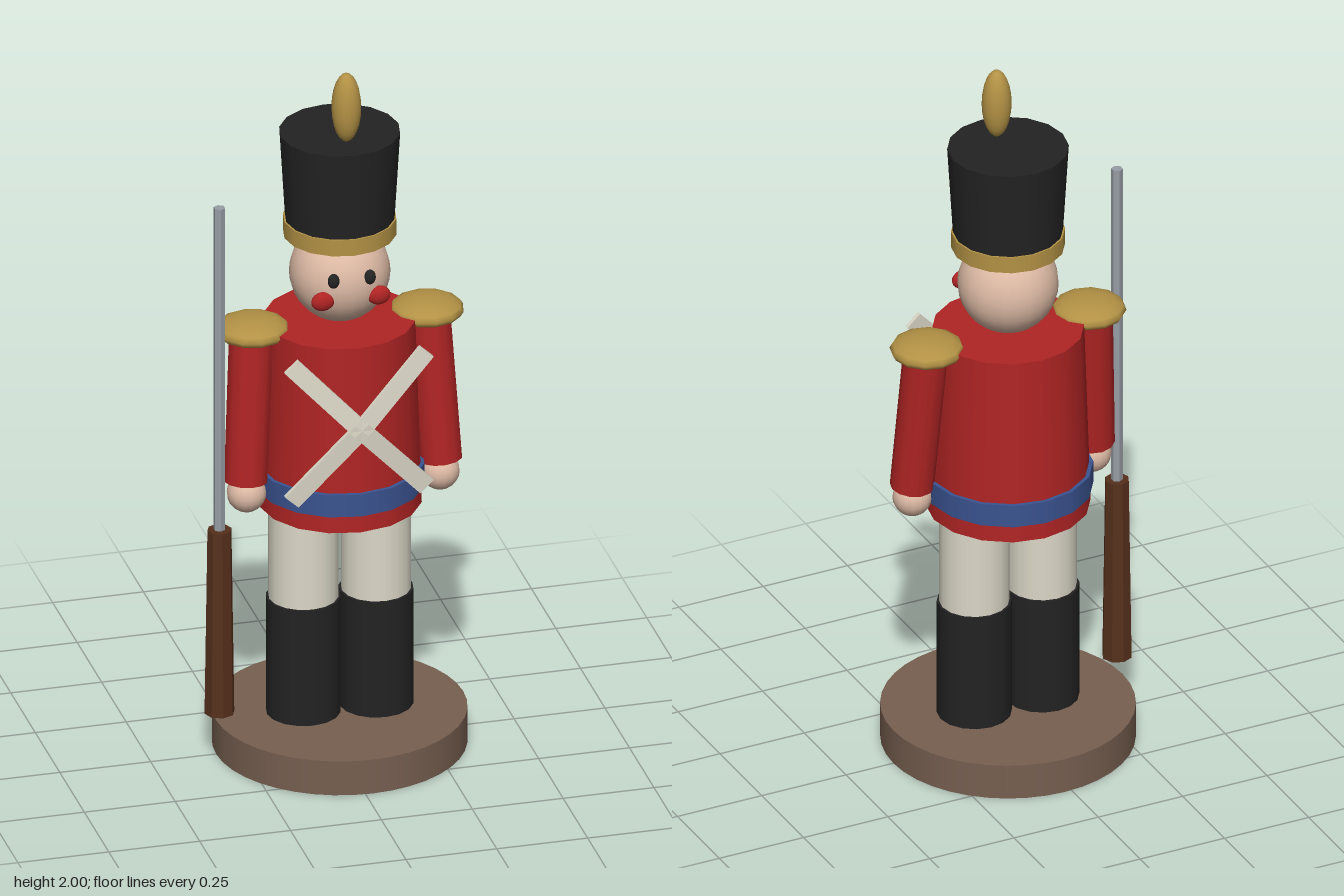
import * as THREE from 'three';

const mat = (name, color, extra = {}) => {
  const m = new THREE.MeshStandardMaterial({ color, ...extra });
  m.name = name;
  return m;
};

export function createModel() {
  const red = mat('red', 0xb02424), blue = mat('blue', 0x3a5390), gold = mat('gold', 0xb39245);
  const black = mat('black', 0x232323), cream = mat('cream', 0xdcd8c8), skin = mat('skin', 0xdcb9a4);
  const earth = mat('base brown', 0x775f50);
  const wood = mat('wood', 0x56301c, { flatShading: true });
  const steel = mat('steel', 0x979da5, { flatShading: true });

  const model = new THREE.Group();
  model.name = 'toySoldier';
  const body = new THREE.Group(); // everything is laid out around the figure's axis
  body.name = 'figure';
  body.position.x = 0.02;
  model.add(body);

  const add = (name, geometry, material, x = 0, y = 0, z = 0) => {
    const mesh = new THREE.Mesh(geometry, material);
    mesh.name = name;
    mesh.position.set(x, y, z);
    body.add(mesh);
    return mesh;
  };
  // upright cylinder between two heights
  const column = (name, material, y0, y1, r0, r1, x = 0, z = 0, sides = 16) =>
    add(name, new THREE.CylinderGeometry(r1, r0, y1 - y0, sides), material, x, (y0 + y1) / 2, z);
  const ellipsoid = (name, material, x, y, z, rx, ry, rz, w = 16, h = 12) =>
    add(name, new THREE.SphereGeometry(1, w, h).scale(rx, ry, rz), material, x, y, z);

  // stand, tunic and belt
  column('base', earth, 0, 0.1, 0.34, 0.34, 0, 0, 40);
  column('tunic', red, 0.715, 1.25, 0.22, 0.203);
  column('belt', blue, 0.765, 0.83, 0.227, 0.227);

  // head and tall hat
  ellipsoid('head', skin, 0, 1.387, 0, 0.135, 0.137, 0.135, 24, 16);
  column('hat', black, 1.497, 1.8, 0.144, 0.162);
  column('hatBand', gold, 1.5, 1.547, 0.152, 0.152);
  ellipsoid('plume', gold, 0, 1.9, 0.068, 0.04, 0.1, 0.04);

  for (const s of [-1, 1]) {
    const side = s > 0 ? 'left' : 'right';
    // legs
    column(side + 'Boot', black, 0.1, 0.44, 0.1, 0.1, s * 0.1);
    column(side + 'Trouser', cream, 0.44, 0.72, 0.094, 0.094, s * 0.1);

    // arm, leaning outward and forward
    const top = new THREE.Vector3(s * 0.243, 1.235, 0);
    const end = new THREE.Vector3(s * 0.268, 0.815, 0.034);
    const dir = top.clone().sub(end);
    const arm = add(side + 'Arm', new THREE.CylinderGeometry(0.061, 0.059, dir.length(), 12), red);
    arm.position.copy(top).add(end).multiplyScalar(0.5);
    arm.quaternion.setFromUnitVectors(new THREE.Vector3(0, 1, 0), dir.normalize());
    ellipsoid(side + 'Hand', skin, s * 0.266, 0.78, 0.036, 0.053, 0.053, 0.053);
    ellipsoid(side + 'Epaulette', gold, s * 0.24, 1.244, 0, 0.1, 0.035, 0.1, 12, 8);

    // face
    ellipsoid(side + 'Eye', black, s * 0.05, 1.418, 0.124, 0.016, 0.021, 0.013);
    ellipsoid(side + 'Cheek', red, s * 0.077, 1.357, 0.114, 0.032, 0.027, 0.017);

    // chest strap, bent at its middle
    const strap = new THREE.BoxGeometry(0.05, 0.545, 0.013, 1, 2, 1);
    const p = strap.attributes.position;
    for (let i = 0; i < p.count; i++) p.setZ(i, p.getZ(i) - 0.095 * Math.abs(p.getY(i)));
    const flat = strap.toNonIndexed();
    flat.computeVertexNormals();
    add(side + 'Strap', flat, cream, 0, 1.017, 0.222).rotation.z = s * 0.75;
  }

  // musket at the right hand
  column('musketStock', wood, 0.14, 0.68, 0.041, 0.033, -0.34, 0.034, 8);
  column('musketBarrel', steel, 0.68, 1.63, 0.016, 0.016, -0.34, 0.034, 6);

  return model;
}
